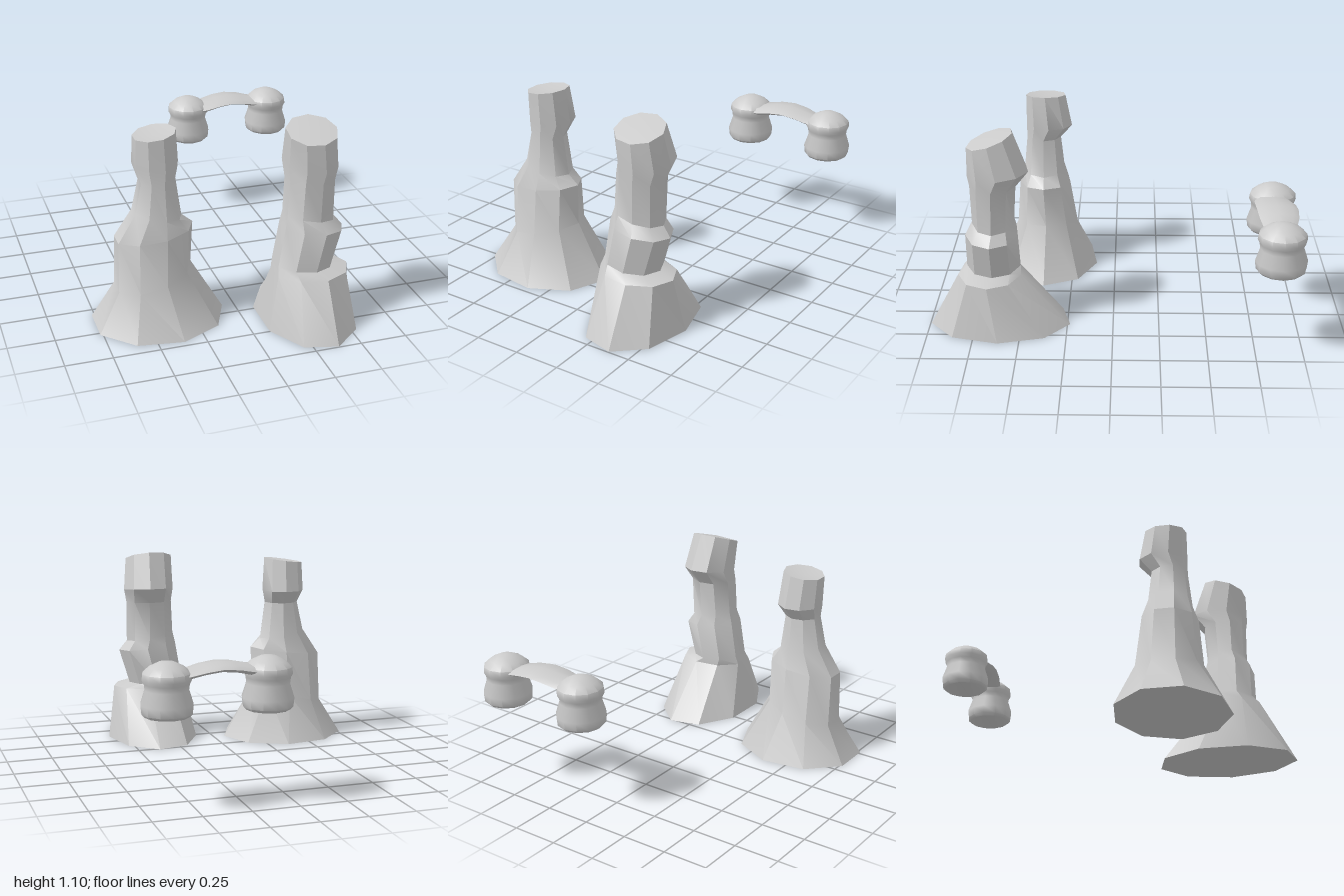
import * as THREE from 'three';
import { toCreasedNormals } from 'three/addons/utils/BufferGeometryUtils.js';

const material = new THREE.MeshStandardMaterial({ color: 0xcccccc });

// Skin a stack of polygon rings, each [y, xMin, xMax, zMin, zMax, tiltX, tiltZ], and close both ends.
// capLift raises or sinks the middle of the top face.
function loft(rings, sides, crease, capLift = 0) {
  const angles = Array.from({ length: sides }, (_, i) => (i / sides) * Math.PI * 2);
  const minCos = Math.min(...angles.map(Math.cos));
  const maxSin = Math.max(...angles.map(Math.sin));
  const pos = [], idx = [], centres = [];
  for (const [y, x0, x1, z0, z1, tiltX = 0, tiltZ = 0] of rings) {
    const rx = (x1 - x0) / (1 - minCos), cx = x1 - rx;
    const rz = (z1 - z0) / (2 * maxSin), cz = (z0 + z1) / 2;
    centres.push([cx, y, cz]);
    for (const a of angles) {
      const c = Math.cos(a), s = Math.sin(a);
      pos.push(cx + rx * c, y + tiltX * c + tiltZ * s, cz + rz * s);
    }
  }
  const last = rings.length - 1, bottom = rings.length * sides, top = bottom + 1;
  pos.push(...centres[0]);
  pos.push(centres[last][0], centres[last][1] + capLift, centres[last][2]);
  for (let i = 0; i < sides; i++) {
    const k = (i + 1) % sides;
    for (let j = 0; j < last; j++) {
      const a = j * sides + i, b = j * sides + k, c = b + sides, d = a + sides;
      idx.push(a, d, c, a, c, b);
    }
    idx.push(bottom, i, k, top, last * sides + k, last * sides + i);
  }
  const g = new THREE.BufferGeometry();
  g.setAttribute('position', new THREE.Float32BufferAttribute(pos, 3));
  g.setIndex(idx);
  return toCreasedNormals(g, crease);
}

function add(parent, name, geometry) {
  const mesh = new THREE.Mesh(geometry, material);
  mesh.name = name;
  parent.add(mesh);
  return mesh;
}

export function createModel() {
  const model = new THREE.Group();
  model.name = 'rockFormations';

  // Nine-sided stone pillar on the right, with a stepped shoulder
  add(model, 'rightPillar', loft([
    [0, -0.765, -0.065, 0.11, 0.715],
    [0.25, -0.645, -0.24, 0.225, 0.58, 0.05],
    [0.51, -0.64, -0.23, 0.265, 0.56, 0.025],
    [0.61, -0.545, -0.29, 0.295, 0.53, -0.025],
    [0.8, -0.51, -0.32, 0.315, 0.51],
    [0.875, -0.53, -0.295, 0.25, 0.51],
    [1.05, -0.53, -0.31, 0.285, 0.51, 0.015],
  ], 9, 0.55, -0.015));

  // Nine-sided stone pillar on the left, with a ledge low on its outer side
  add(model, 'leftPillar', loft([
    [0, 0.09, 0.592, 0.235, 0.995],
    [0.3, 0.14, 0.545, 0.495, 0.835],
    [0.335, 0.15, 0.455, 0.5, 0.79, -0.015],
    [0.54, 0.185, 0.515, 0.505, 0.785, -0.02],
    [0.6, 0.2, 0.47, 0.525, 0.748, -0.025],
    [0.81, 0.21, 0.47, 0.51, 0.752],
    [0.885, 0.21, 0.49, 0.44, 0.76, 0, -0.015],
    [1.065, 0.205, 0.468, 0.52, 0.76, 0, -0.04],
  ], 9, 0.55, 0.01));

  // Low arch at the back: two waisted knobs joined by a bowed slab
  const arch = new THREE.Group();
  arch.name = 'arch';
  const knobProfile = [
    [0.47, 0.11], [0.485, 0.125], [0.53, 0.13], [0.6, 0.108], [0.63, 0.112],
    [0.65, 0.122], [0.68, 0.118], [0.71, 0.085], [0.732, 0.04],
  ];
  for (const [name, x] of [['rightKnob', 0.124], ['leftKnob', 0.634]]) {
    const rings = knobProfile.map(([y, r]) =>
      [y, x - r, x + r, -0.862 - r * 1.04, -0.862 + r * 1.04]);
    add(arch, name, loft(rings, 12, 0.8, 0.004));
  }

  // Slab sections along x: [x, bottom, top, back, front], lofted upright then laid on its side
  const slab = [
    [0.12, 0.63, 0.69, -0.93, -0.78],
    [0.22, 0.645, 0.7, -0.95, -0.755],
    [0.3, 0.665, 0.715, -0.965, -0.752],
    [0.38, 0.675, 0.72, -0.97, -0.754],
    [0.46, 0.665, 0.71, -0.965, -0.76],
    [0.54, 0.645, 0.69, -0.945, -0.775],
    [0.63, 0.63, 0.68, -0.93, -0.79],
  ].map(([x, y0, y1, z0, z1]) => [x, -y1, -y0, z0, z1]);
  add(arch, 'archSlab', loft(slab, 8, 0.8).rotateZ(-Math.PI / 2));
  model.add(arch);

  return model;
}
